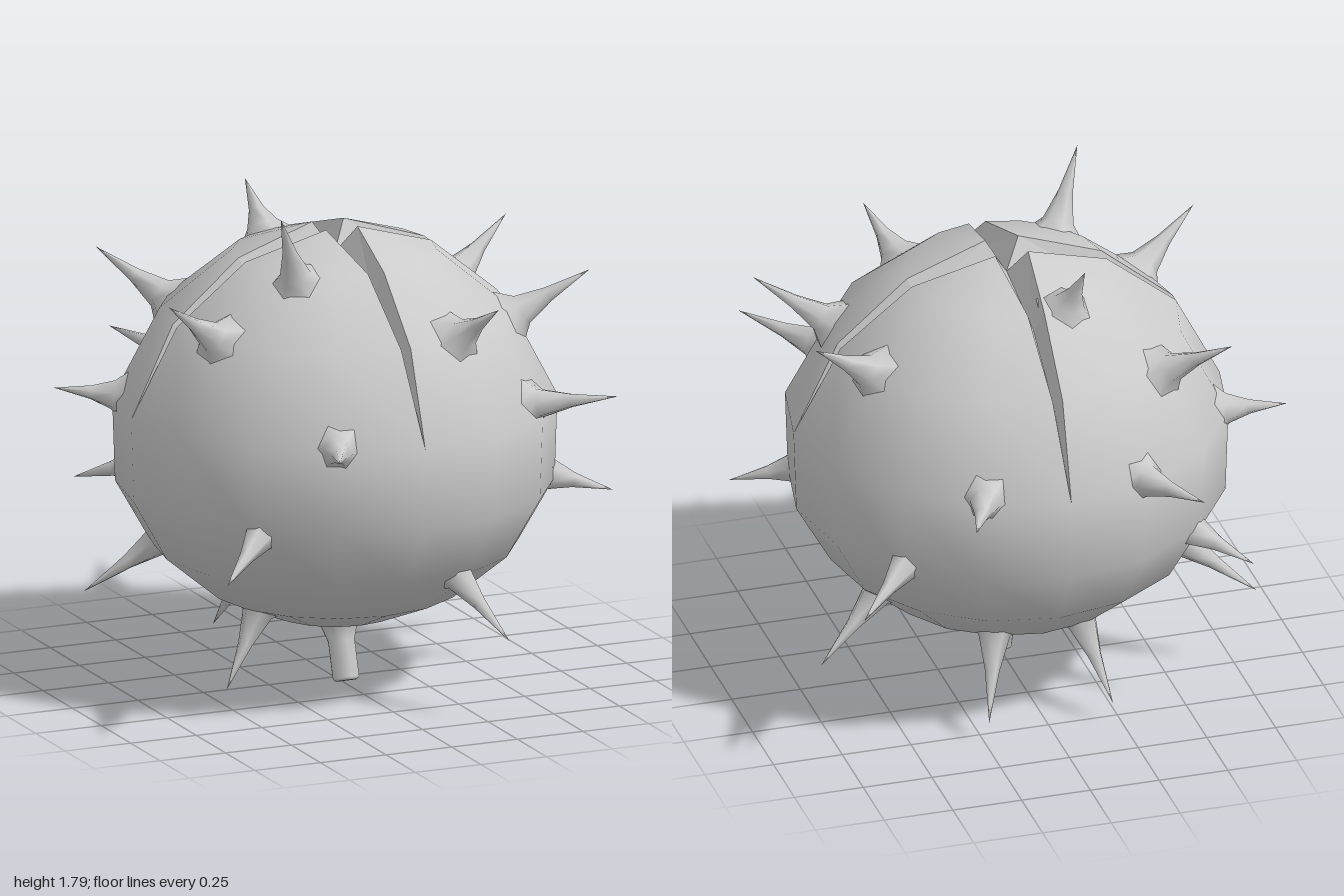
import * as THREE from 'three';
import { mergeVertices } from 'three/addons/utils/BufferGeometryUtils.js';

const CENTRE = new THREE.Vector3(0, 0.93, 0);

// Shell rings, top to bottom: radius, height, half-width of the slit
const RINGS = [
  [0.06 * Math.SQRT2, 1.64, 0.06], [0.355, 1.55, 0.03], [0.61, 1.34, 0.018], [0.775, 1.02, 0],
  [0.765, 0.72, 0], [0.64, 0.5, 0], [0.44, 0.335, 0], [0.22, 0.245, 0], [0, 0.21, 0],
];
// Bottom of the slit, centre outwards: radius, height
const SLIT_FLOOR = [[0, 1.54], [0.32, 1.47], [0.57, 1.29], [0.775, 1.02]];

// Spike tips
const SPIKES = [
  // around the top
  [-0.37, 1.79, 0.37], [-0.16, 1.72, -0.41], [-0.78, 1.51, 0.33], [-0.63, 1.47, -0.63],
  [0.82, 1.47, 0.34], [0.79, 1.51, -0.31], [0.3, 1.48, 0.73],
  // around the middle
  [-0.91, 1.06, -0.36], [-0.42, 1.07, 0.99], [0.41, 1.08, -0.99], [-0.42, 1.07, -0.99],
  [0.75, 1.12, 0.74], [-0.74, 0.6, 0.74], [0.74, 0.65, -0.73], [-0.69, 0.63, -0.69], [0.9, 0.67, 0.36],
  // around the bottom
  [-0.81, 0.32, -0.33], [0.77, 0.26, -0.31], [0.31, 0.3, 0.8],
  [-0.51, 0.07, 0.22], [-0.22, 0.08, -0.55], [0.24, 0.09, -0.58],
];

function geometryFrom(points, index) {
  const g = new THREE.BufferGeometry();
  g.setAttribute('position', new THREE.Float32BufferAttribute(points, 3));
  if (index) g.setIndex(index);
  return g;
}

// Four quarters that part along the slits and join below them
function shellGeometry() {
  const points = [], index = [], cols = 4;
  for (let q = 0; q < 4; q++) {
    const base = points.length / 3;
    RINGS.forEach(([r, y, w], i) => {
      const gap = r > 0 ? Math.asin(w / r) : 0;
      for (let j = 0; j <= cols; j++) {
        const a = q * Math.PI / 2 + THREE.MathUtils.lerp(gap, Math.PI / 2 - gap, j / cols);
        points.push(r * Math.cos(a), y, r * Math.sin(a));
        if (i < RINGS.length - 1 && j < cols) {
          const k = base + i * (cols + 1) + j, d = k + cols + 1;
          index.push(k, k + 1, d, k + 1, d + 1, d);
        }
      }
    });
  }
  const g = mergeVertices(geometryFrom(points, index), 1e-4);
  g.computeVertexNormals();
  return g;
}

// One V-shaped slit running out along +x
function slitGeometry() {
  const points = [];
  for (const side of [1, -1]) {
    const edge = SLIT_FLOOR.map((_, i) => {
      const [r, y, w] = RINGS[i];
      return [Math.sqrt(r * r - w * w), y, side * w];
    });
    const floor = SLIT_FLOOR.map(([r, y]) => [r, y, 0]);
    for (let i = 0; i < 3; i++) {
      const quad = [edge[i], floor[i], floor[i + 1], edge[i + 1]];
      const order = side > 0 ? [0, 2, 1, 0, 3, 2] : [0, 1, 2, 0, 2, 3];
      order.forEach((k) => points.push(...quad[k]));
    }
  }
  const g = geometryFrom(points);
  g.computeVertexNormals();
  return g;
}

// Lathe of [radius, distance] pairs, turned to run along a direction
function turned(profile, sides, direction, origin, material) {
  const pts = profile.map(([r, d]) => new THREE.Vector2(r, d));
  const mesh = new THREE.Mesh(new THREE.LatheGeometry(pts, sides), material);
  mesh.quaternion.setFromUnitVectors(new THREE.Vector3(0, 1, 0), direction);
  mesh.position.copy(origin);
  return mesh;
}

export function createModel() {
  const model = new THREE.Group();
  model.name = 'spikyPod';
  const material = new THREE.MeshStandardMaterial({ color: 0xcccccc });
  const slitMaterial = new THREE.MeshStandardMaterial({
    color: 0xcccccc, flatShading: true, side: THREE.DoubleSide,
  });

  const shell = new THREE.Mesh(shellGeometry(), material);
  shell.name = 'shell';
  model.add(shell);

  // Crossed slits on the top
  const slits = new THREE.Group();
  slits.name = 'slits';
  const slit = slitGeometry();
  for (let i = 0; i < 4; i++) {
    const mesh = new THREE.Mesh(slit, slitMaterial);
    mesh.name = 'slit';
    mesh.rotation.y = i * Math.PI / 2;
    slits.add(mesh);
  }
  model.add(slits);

  // Flared spikes pointing out from the centre
  const spikes = new THREE.Group();
  spikes.name = 'spikes';
  for (const tip of SPIKES) {
    const dir = new THREE.Vector3(...tip).sub(CENTRE);
    const reach = dir.length();
    dir.normalize();
    const surface = 1 / Math.hypot(Math.hypot(dir.x, dir.z) / 0.77, dir.y / 0.71) - 0.02;
    const len = reach - surface;
    const mesh = turned(
      [[0.11, surface - 0.03], [0.055, surface + 0.03], [0.026, surface + len * 0.45], [0, reach]],
      6, dir, CENTRE, material);
    mesh.name = 'spike';
    spikes.add(mesh);
  }
  model.add(spikes);

  // Leaning stem underneath
  const stem = turned(
    [[0.12, -0.01], [0.07, 0.04], [0.05, 0.1], [0.05, 0.23], [0.04, 0.24], [0, 0.24]],
    8, new THREE.Vector3(0, -0.95, 0.31).normalize(), new THREE.Vector3(0, 0.245, 0.025), material);
  stem.name = 'stem';
  model.add(stem);

  return model;
}
